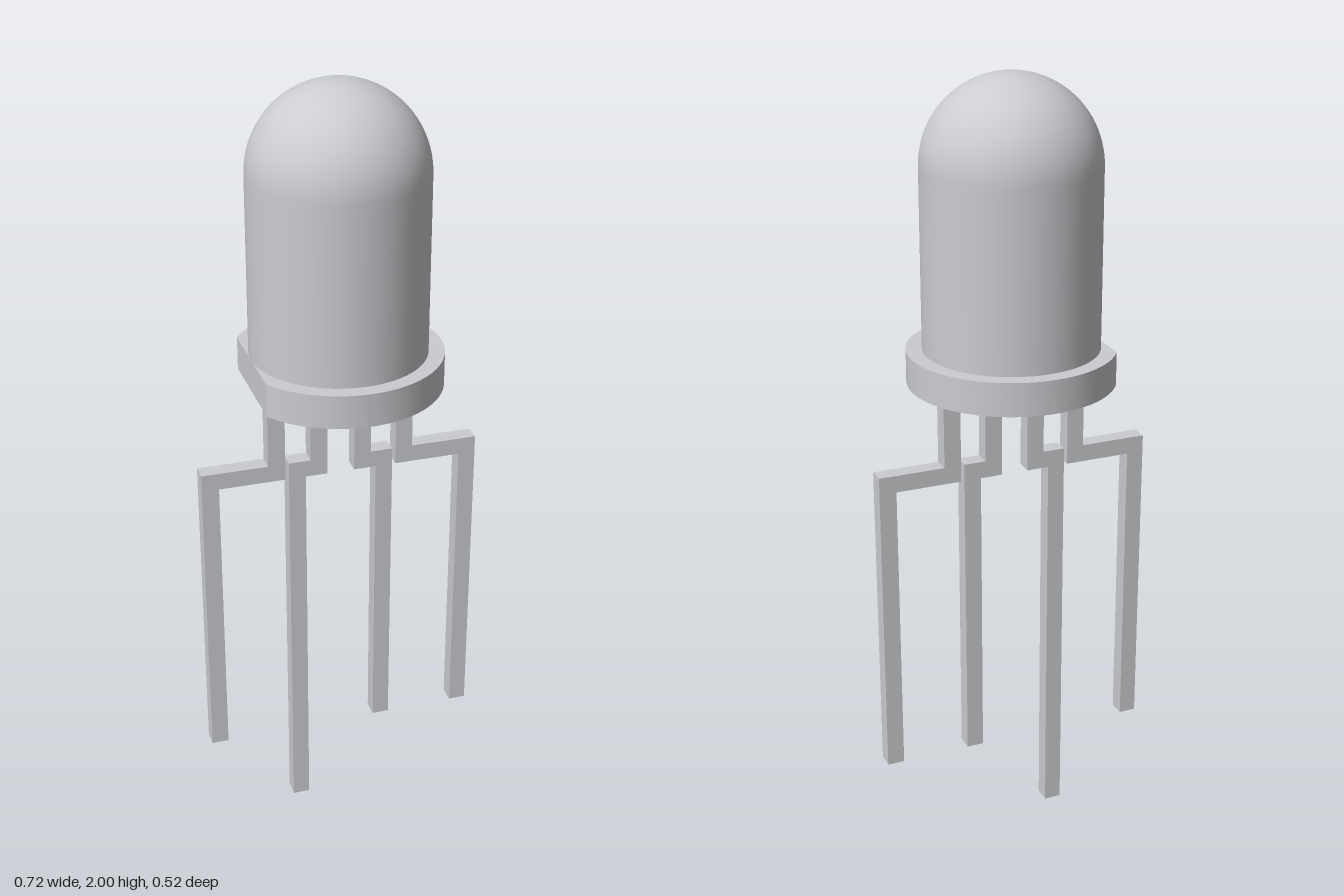
import * as THREE from 'three';
import { toCreasedNormals } from 'three/addons/utils/BufferGeometryUtils.js';

const R = 0.22;          // bulb radius
const RIM = 0.26;        // flange radius
const RIM_Y = 1.245, RIM_TOP = 1.33;
const DOME_Y = 1.78;     // where the dome begins
const W = 0.044;         // lead thickness
const BEND_Y = 1.0;      // underside of the lead bend

// Cranked square lead: upper stub, sideways step, long lower leg
function leadGeometry(upperX, lowerX, bottomY) {
  const s = Math.sign(lowerX - upperX), h = (W / 2) * s;
  const shape = new THREE.Shape([
    [upperX - h, RIM_Y], [upperX - h, BEND_Y], [lowerX - h, BEND_Y], [lowerX - h, bottomY],
    [lowerX + h, bottomY], [lowerX + h, BEND_Y + W], [upperX + h, BEND_Y + W], [upperX + h, RIM_Y],
  ].map(([x, y]) => new THREE.Vector2(x, y)));
  return new THREE.ExtrudeGeometry(shape, { depth: W, bevelEnabled: false }).translate(0, 0, -W / 2);
}

export function createModel() {
  const model = new THREE.Group();
  model.name = 'lightEmittingDiode';
  const grey = new THREE.MeshStandardMaterial({ color: 0xcbccd0 });
  grey.name = 'lightGrey';

  const add = (name, geometry) => {
    const mesh = new THREE.Mesh(geometry, grey);
    mesh.name = name;
    model.add(mesh);
  };

  // Bulb: straight wall running into a hemispherical dome
  const profile = [new THREE.Vector2(R, RIM_TOP), new THREE.Vector2(R, DOME_Y - 0.02)];
  const steps = 24;
  for (let i = 0; i <= steps; i++) {
    const a = (i / steps) * Math.PI / 2;
    profile.push(new THREE.Vector2(i === steps ? 0 : R * Math.cos(a), DOME_Y + R * Math.sin(a)));
  }
  add('bulb', new THREE.LatheGeometry(profile, 72));

  // Flange: round rim with a flat cut on the -x side
  const cut = Math.acos(-R / RIM);
  const rim = new THREE.Shape();
  rim.absarc(0, 0, RIM, -cut, cut, false);
  rim.closePath();
  const flange = new THREE.ExtrudeGeometry(rim, {
    depth: RIM_TOP - RIM_Y, bevelEnabled: false, curveSegments: 72,
  });
  flange.rotateX(-Math.PI / 2).translate(0, RIM_Y, 0);
  add('flange', toCreasedNormals(flange, 0.5));

  // Four leads, one of them longer
  [
    ['outerRightLead', -0.167, -0.338, 0.225],
    ['longLead', -0.057, -0.114, 0],
    ['innerLeftLead', 0.057, 0.114, 0.225],
    ['outerLeftLead', 0.167, 0.338, 0.225],
  ].forEach(([name, upperX, lowerX, bottomY]) => add(name, leadGeometry(upperX, lowerX, bottomY)));

  return model;
}
